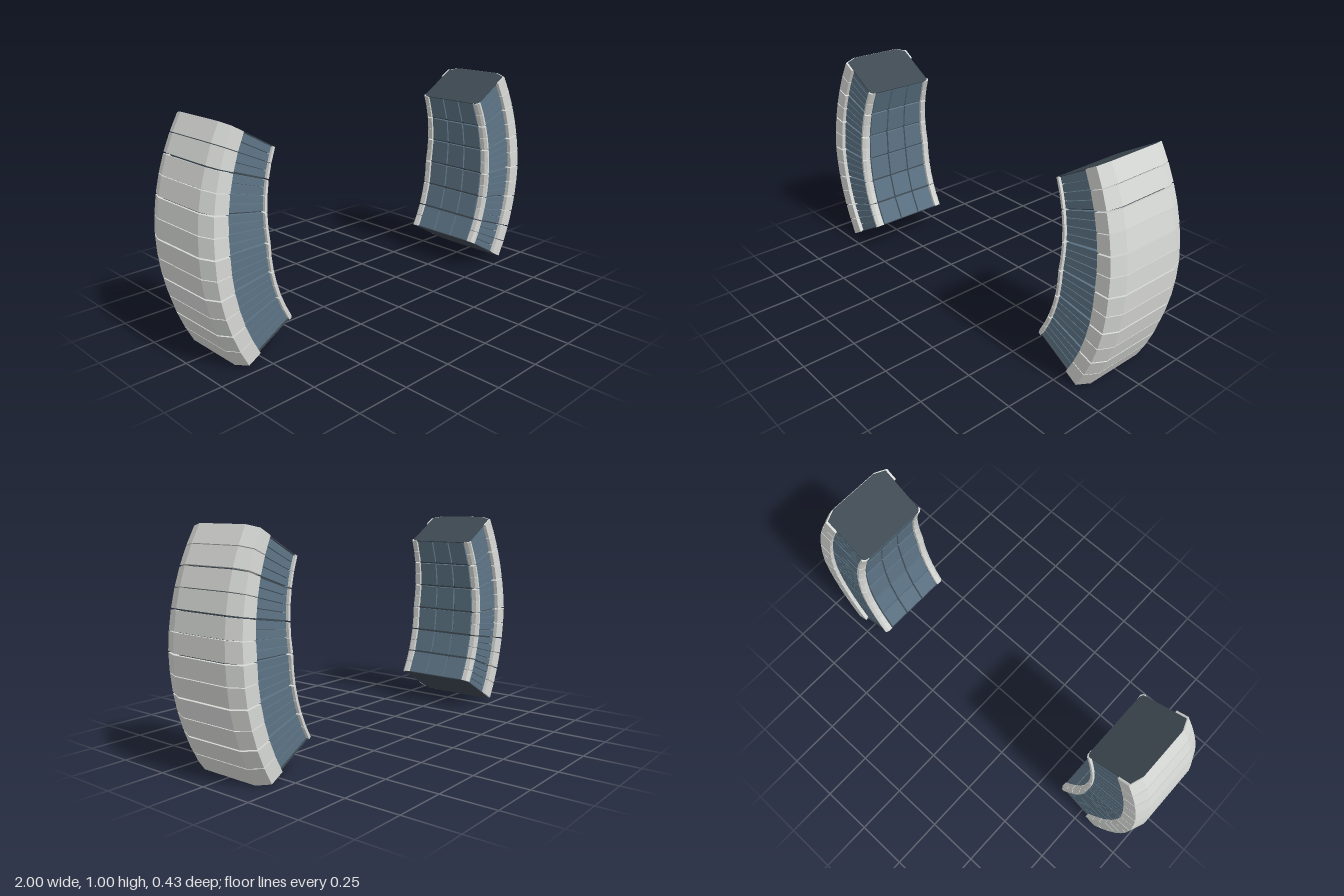
import * as THREE from 'three';
import { mergeGeometries } from 'three/addons/utils/BufferGeometryUtils.js';

const HALF = 30; // half angle of each arc, in degrees

// The arc keeps its full section below the middle and narrows towards the top.
const taper = (deg) => 1 - 0.135 * Math.max(0, Math.sin(deg * Math.PI / 180) / 0.5);

// Place a section point (depth from the outer face, z) at an angle on the arc.
function place(p, deg) {
  const a = deg * Math.PI / 180, s = taper(deg), r = 1 - p[0] * s;
  return [r * Math.cos(a), 0.5 + r * Math.sin(a), p[1] * s];
}

// Solid block: a closed section swept straight from one angle to another.
function block(section, a0, a1) {
  const contour = section.map(([d, z]) => new THREE.Vector2(1 - d, z));
  const pts = section.slice();
  if (THREE.ShapeUtils.isClockWise(contour)) { contour.reverse(); pts.reverse(); }
  const lo = pts.map((p) => place(p, a0)), hi = pts.map((p) => place(p, a1));
  const pos = [];
  for (let i = 0; i < pts.length; i++) {
    const j = (i + 1) % pts.length;
    pos.push(...lo[i], ...hi[i], ...hi[j], ...lo[i], ...hi[j], ...lo[j]);
  }
  for (const [a, b, c] of THREE.ShapeUtils.triangulateShape(contour, [])) {
    pos.push(...lo[a], ...lo[b], ...lo[c], ...hi[a], ...hi[c], ...hi[b]);
  }
  const g = new THREE.BufferGeometry();
  g.setAttribute('position', new THREE.Float32BufferAttribute(pos, 3));
  g.computeVertexNormals();
  return g;
}

// A row of blocks along the arc; every tenth degree gets a wider joint.
function row(section, step, minor, major) {
  const out = [];
  const gap = (a) => (Math.abs(a) === HALF ? 0.1 : a % 10 === 0 ? major : minor) / 2;
  for (let a = -HALF; a < HALF; a += step) {
    out.push(block(section, a + gap(a), a + step - gap(a + step)));
  }
  return out;
}

const mirror = (section) => section.map(([d, z]) => [d, -z]);
const symmetric = (half) => [...half, ...mirror(half).reverse()];

export function createModel() {
  const light = new THREE.MeshStandardMaterial({ color: 0xd6d8d5 });
  const blue = new THREE.MeshStandardMaterial({ color: 0x5c7384 });
  const dark = new THREE.MeshStandardMaterial({ color: 0x3e4952 });
  light.name = 'light armour';
  blue.name = 'blue panel';
  dark.name = 'dark core';

  const arc = new THREE.Group();
  const add = (name, geometries, material) => {
    const mesh = new THREE.Mesh(mergeGeometries(geometries), material);
    mesh.name = name;
    arc.add(mesh);
  };

  // Dark core seen through the joints
  const core = symmetric([[0.014, 0.13], [0.04, 0.178], [0.286, 0.178]]);
  add('core', row(core, 2.5, 0, 0), dark);

  // End plates
  const cap = symmetric([[0.002, 0.14], [0.028, 0.203], [0.285, 0.203], [0.297, 0.185]]);
  add('endPlates', [block(cap, -HALF, -HALF + 0.3), block(cap, HALF - 0.3, HALF)], dark);

  // Outer shell: chamfered U-shaped segments
  const shell = symmetric([
    [0.015, 0.13], [0.04, 0.178], [0.095, 0.178],
    [0.095, 0.215], [0.027, 0.215], [0, 0.148],
  ]);
  add('outerShell', row(shell, 5, 0.2, 0.4), light);

  // Recessed side panels, front and back
  const side = [[0.095, 0.17], [0.095, 0.196], [0.278, 0.196], [0.278, 0.17]];
  add('sidePanels', [side, mirror(side)].flatMap((s) => row(s, 2.5, 0.22, 0.6)), blue);

  // Light rims on the inner edges
  const rim = [[0.278, 0.17], [0.278, 0.21], [0.29, 0.21], [0.3, 0.197], [0.3, 0.172]];
  add('innerRims', [rim, mirror(rim)].flatMap((s) => row(s, 5, 0.15, 0.5)), light);

  // Inner face tiles
  const tiles = [];
  for (const z of [-0.112, 0, 0.112]) {
    const w = 0.052;
    tiles.push(...row([[0.28, z - w], [0.28, z + w], [0.296, z + w], [0.296, z - w]], 10, 0.8, 0.8));
  }
  add('innerTiles', tiles, blue);

  // Two facing arcs
  arc.name = 'leftArc';
  const right = arc.clone();
  right.name = 'rightArc';
  right.rotation.y = Math.PI;

  const model = new THREE.Group();
  model.name = 'arcPair';
  model.add(arc, right);
  return model;
}
